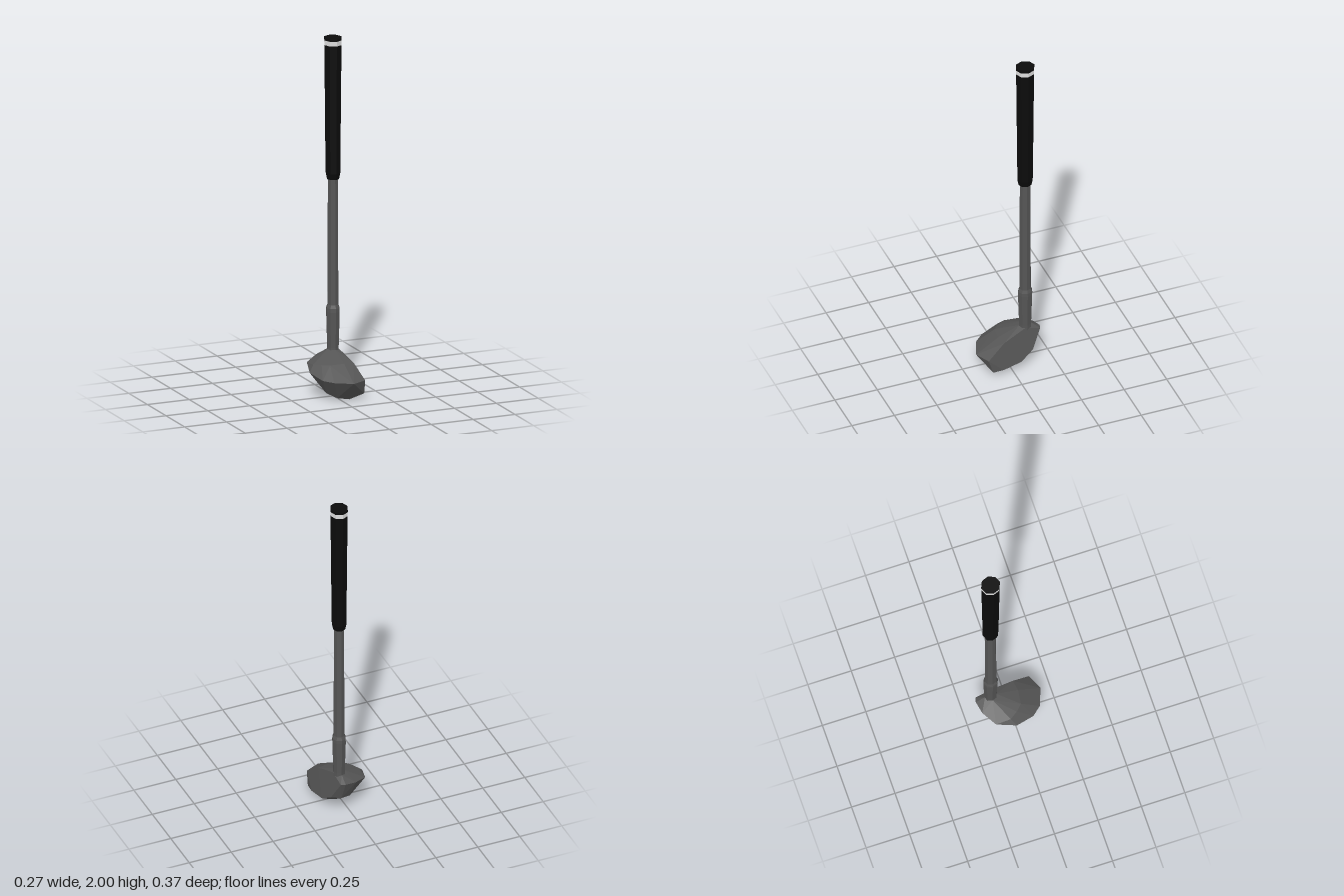
import * as THREE from 'three';
import { ConvexGeometry } from 'three/addons/geometries/ConvexGeometry.js';

export function createModel() {
  const club = new THREE.Group();
  club.name = 'golfClub';

  const material = (name, color) => {
    const m = new THREE.MeshStandardMaterial({ color, flatShading: true });
    m.name = name;
    return m;
  };
  const steel = material('darkSteel', 0x555555);
  const rubber = material('blackRubber', 0x0b0b0b);
  const white = material('whiteBand', 0xe0e0e0);

  // Eight-sided turned parts along the shaft axis; profile is [radius, y] going up
  const turned = (name, mat, profile) => {
    const pts = profile.map(([r, y]) => new THREE.Vector2(r, y));
    const mesh = new THREE.Mesh(new THREE.LatheGeometry(pts, 8), mat);
    mesh.name = name;
    mesh.position.set(0.042, 0, -0.102);
    mesh.scale.z = 1.08;
    club.add(mesh);
  };
  turned('hosel', steel, [[0.034, 0.2], [0.033, 0.25], [0.039, 0.45], [0.038, 0.47], [0.031, 0.49]]);
  turned('shaft', steel, [[0.031, 0.49], [0.029, 1.21]]);
  turned('grip', rubber, [[0, 1.2], [0.035, 1.2], [0.042, 1.235], [0.049, 1.96]]);
  turned('gripBand', white, [[0.049, 1.96], [0.05, 1.987]]);
  turned('gripCap', rubber, [[0.05, 1.987], [0.05, 2], [0, 2]]);

  // Faceted head: rim, crown, striking face and sole corners
  const corners = [
    // rim, around the back of the head from toe to heel
    [0.04, 0.109, 0.185], [-0.06, 0.115, 0.147], [-0.106, 0.12, 0.095],
    [-0.137, 0.142, -0.01], [-0.106, 0.172, -0.12], [-0.027, 0.195, -0.173],
    [0.04, 0.207, -0.188], [0.066, 0.208, -0.181],
    // crown
    [-0.105, 0.18, -0.035], [-0.075, 0.184, 0.01], [-0.04, 0.187, 0.045],
    [0.04, 0.191, 0.055], [0.01, 0.24, -0.1], [0.04, 0.24, -0.07],
    [0.04, 0.24, -0.135], [0.073, 0.236, -0.09],
    // striking face on the +x side
    [0.1, 0.188, 0.045], [0.125, 0.11, 0.145], [0.13, 0.03, 0.12],
    [0.135, 0.035, 0.06], [0.12, 0.05, -0.05], [0.1, 0.1, -0.125],
    // sole
    [-0.07, 0.038, 0.06], [-0.02, 0.013, 0.095], [0.05, 0, 0.1],
    [0.05, 0.018, -0.04], [-0.065, 0.06, -0.05], [-0.01, 0.085, -0.13],
    [0.05, 0.097, -0.152],
  ].map((p) => new THREE.Vector3(...p));
  const head = new THREE.Mesh(new ConvexGeometry(corners), steel);
  head.name = 'clubHead';
  club.add(head);

  return club;
}
